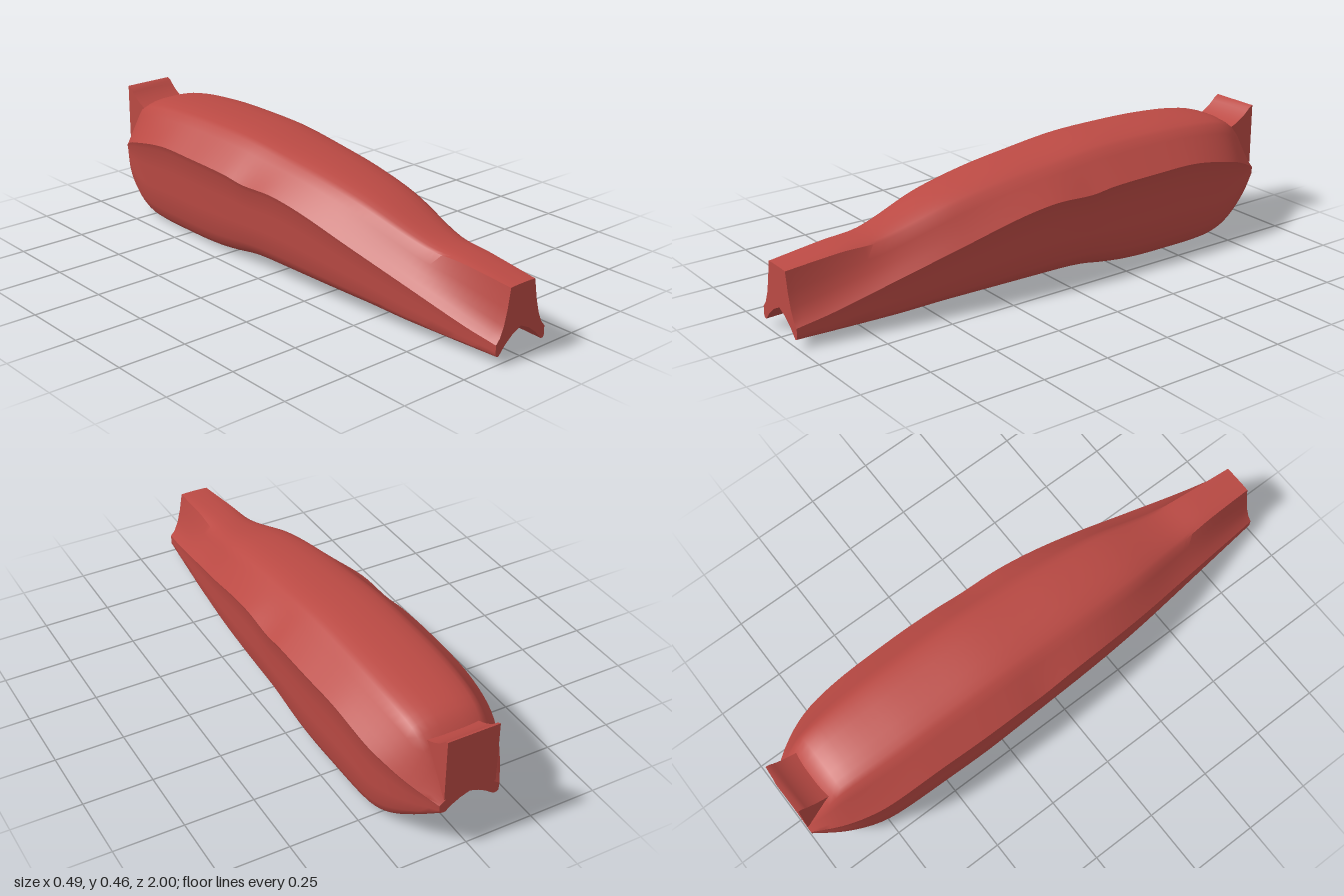
import * as THREE from 'three';
import { toCreasedNormals } from 'three/addons/utils/BufferGeometryUtils.js';

// Smooth value along z through a few [z, value] knots (z descending)
function along(knots) {
  const slope = (i) => {
    const a = knots[Math.max(i - 1, 0)], b = knots[Math.min(i + 1, knots.length - 1)];
    return (b[1] - a[1]) / (b[0] - a[0]);
  };
  return (z) => {
    let i = 0;
    while (i < knots.length - 2 && z < knots[i + 1][0]) i++;
    const [z0, v0] = knots[i], [z1, v1] = knots[i + 1];
    const h = z1 - z0, t = (z - z0) / h, t2 = t * t, t3 = t2 * t;
    return v0 * (2 * t3 - 3 * t2 + 1) + v1 * (3 * t2 - 2 * t3)
      + slope(i) * h * (t3 - 2 * t2 + t) + slope(i + 1) * h * (t3 - t2);
  };
}

const top = along([[1, 0.25], [0.8, 0.276], [0.65, 0.293], [0.4, 0.37], [0.2, 0.41], [0, 0.435],
  [-0.2, 0.455], [-0.4, 0.459], [-0.6, 0.455], [-0.8, 0.435], [-0.88, 0.4], [-0.94, 0.32], [-1, 0.24]]);
const shoulderX = along([[1, 0.055], [0.8, 0.066], [0.65, 0.08], [0.4, 0.114], [0, 0.132], [-0.4, 0.135],
  [-0.7, 0.132], [-0.9, 0.115], [-1, 0.085]]);
const shoulderDrop = along([[1, 0.002], [0.8, 0.008], [0.65, 0.016], [0.3, 0.023], [-0.4, 0.02], [-1, 0.02]]);
const waistX = along([[1, 0.112], [0.8, 0.14], [0.6, 0.17], [0.4, 0.2], [0.2, 0.222], [0, 0.235],
  [-0.3, 0.243], [-0.5, 0.24], [-0.7, 0.232], [-0.8, 0.215], [-0.9, 0.175], [-1, 0.112]]);
const waistY = along([[1, 0.07], [0.87, 0.1], [0.6, 0.18], [0.4, 0.24], [0.2, 0.295], [0.05, 0.319],
  [-0.1, 0.318], [-0.2, 0.33], [-0.4, 0.336], [-0.6, 0.332], [-0.8, 0.29], [-0.9, 0.25], [-1, 0.2]]);
const hollow = along([[1, 0.5], [0.8, 0.35], [0.65, 0.22], [0.3, 0.03], [0, 0], [-1, 0]]);
const sideScale = along([[1, 1], [0.6, 0.95], [0, 0.89], [-0.6, 0.87], [-0.85, 0.9], [-1, 0.97]]);
const keelY = along([[1, 0.028], [0.65, 0.03], [0.45, 0.038], [0, 0.039], [-0.1, 0.034], [-0.2, 0.018],
  [-0.3, 0.006], [-0.45, 0], [-0.7, 0.004], [-0.8, 0.033], [-0.9, 0.095], [-1, 0.168]]);
const innerX = along([[1, 0.097], [0.5, 0.11], [0, 0.12], [-0.5, 0.13], [-0.8, 0.125], [-1, 0.088]]);
const grooveY = along([[1, 0.104], [0.8, 0.125], [0.5, 0.148], [0, 0.175], [-0.5, 0.2], [-0.8, 0.21], [-1, 0.217]]);

// Closed cross-section: crown, shoulder, waist crease, side wall, keel, underside tunnel
function section(z) {
  const t = top(z), sx = shoulderX(z), sy = t - shoulderDrop(z);
  const wx = waistX(z), wy = waistY(z), ky = keelY(z), bx = wx * sideScale(z), ix = innerX(z);
  const gy = grooveY(z), side = wy - ky, bend = hollow(z);
  const half = [[0, t]];
  for (const u of [0.35, 0.65, 0.85, 1]) half.push([sx * u, t - (t - sy) * u ** 3]);
  for (const u of [0.25, 0.5, 0.75]) {
    const b = bend * 2 * u * (1 - u);
    half.push([sx + (wx - sx) * (u - b * 0.25), sy + (wy - sy) * (u + b * 0.75)]);
  }
  half.push([wx, wy], [wx - (wx - bx) * 0.3, wy - side * 0.07]);
  for (const u of [0.3, 0.55, 0.8]) half.push([wx + (bx - wx) * (0.3 + 0.6 * u), wy - side * u]);
  // Rounded keel: [fraction from side to tunnel edge, fraction of side height]
  for (const [u, v] of [[0.03, 0.14], [0.1, 0.095], [0.22, 0.055], [0.38, 0.025], [0.54, 0.006],
    [0.8, 0], [0.92, 0.01], [1, 0.04]]) half.push([bx + (ix - bx) * u, ky + side * v]);
  half.push([ix * 0.72, ky + (gy - ky) * 0.42], [ix * 0.38, ky + (gy - ky) * 0.76], [0, gy]);
  return half.concat(half.slice(1, -1).reverse().map(([x, y]) => [-x, y]));
}

function loft(stations) {
  const pos = [], idx = [];
  let n = 0;
  stations.forEach((z) => {
    const ring = section(z);
    n = ring.length;
    ring.forEach(([x, y]) => pos.push(x, y, z));
  });
  for (let s = 0; s < stations.length - 1; s++) {
    for (let i = 0; i < n; i++) {
      const a = s * n + i, b = s * n + (i + 1) % n;
      idx.push(a, b, a + n, b, b + n, a + n);
    }
  }
  const g = new THREE.BufferGeometry();
  g.setAttribute('position', new THREE.Float32BufferAttribute(pos, 3));
  g.setIndex(idx);
  return toCreasedNormals(g, 0.7);
}

export function createModel() {
  const group = new THREE.Group();
  const red = new THREE.MeshStandardMaterial({ color: 0xbb4a44 });
  red.name = 'red';
  const add = (name, geometry) => {
    const mesh = new THREE.Mesh(geometry, red);
    mesh.name = name;
    group.add(mesh);
    return mesh;
  };

  // Main shell
  const stations = Array.from({ length: 65 }, (_, i) => 1 - i / 32);
  add('shell', loft(stations));

  // Flat end faces
  const endFace = (z) => new THREE.ShapeGeometry(
    new THREE.Shape(section(z).map(([x, y]) => new THREE.Vector2(x, y))));
  add('frontFace', endFace(1)).position.z = 1;
  const back = add('backFace', endFace(-1));
  back.rotation.y = Math.PI;
  back.position.z = -1;

  // Upswept tail block
  const profile = new THREE.Shape();
  profile.moveTo(0.84, 0.36);
  profile.lineTo(0.98, 0.23);
  profile.lineTo(1, 0.218);
  profile.lineTo(1, 0.447);
  profile.lineTo(0.985, 0.44);
  profile.quadraticCurveTo(0.95, 0.4, 0.89, 0.378);
  const tail = new THREE.ExtrudeGeometry(profile, { depth: 0.19, bevelEnabled: false, curveSegments: 6 });
  tail.rotateY(Math.PI / 2);
  tail.translate(-0.095, 0, 0);
  add('tailBlock', toCreasedNormals(tail, 0.6));

  return group;
}
